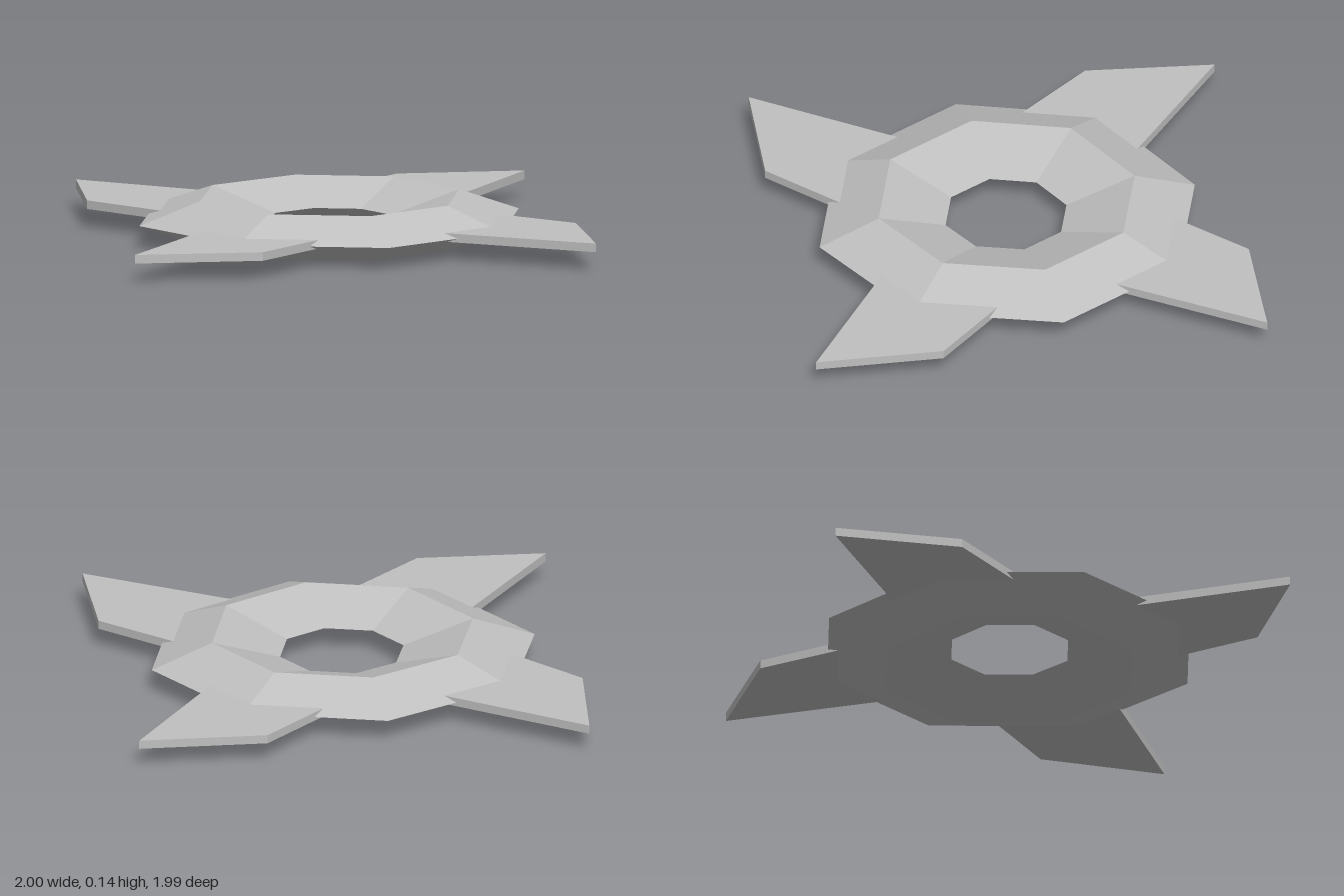
import * as THREE from 'three';

const steel = new THREE.MeshStandardMaterial({ color: 0xc0c0c0, flatShading: true });
steel.name = 'steel grey';

// Outer corners of the eight-sided ring, [x, z], from +x towards +z
const rim = [[0.6, -0.004], [0.43, 0.42], [-0.004, 0.597], [-0.448, 0.42],
  [-0.614, -0.004], [-0.422, -0.437], [-0.004, -0.607], [0.423, -0.437]];

// Diamond cross-section, [scale of the rim, y]
const section = [[1, 0.071], [0.682, 0.141], [0.322, 0.071], [0.682, 0.001]];

function makeRing() {
  const positions = [];
  const index = [];
  const n = section.length;
  rim.forEach(([x, z], i) => {
    const next = (i + 1) % rim.length;
    section.forEach(([s, y], k) => {
      positions.push(x * s, y, z * s);
      const a = i * n + k, b = i * n + (k + 1) % n;
      const c = next * n + (k + 1) % n, d = next * n + k;
      index.push(a, b, c, a, c, d);
    });
  });
  const indexed = new THREE.BufferGeometry();
  indexed.setAttribute('position', new THREE.Float32BufferAttribute(positions, 3));
  indexed.setIndex(index);
  const geometry = indexed.toNonIndexed();
  geometry.computeVertexNormals();
  return geometry;
}

// Flat slanted blade from its outline, [x, z], with its root buried in the ring
function makeBlade(outline) {
  const shape = new THREE.Shape(outline.map(([x, z]) => new THREE.Vector2(x, z)));
  const geometry = new THREE.ExtrudeGeometry(shape, { depth: 0.027, bevelEnabled: false });
  geometry.rotateX(Math.PI / 2);
  geometry.translate(0, 0.086, 0);
  return geometry;
}

const blades = {
  backBlade: [[0.14, -1], [-0.18, -0.76], [-0.218, -0.46], [0.185, -0.46]],
  rightBlade: [[-1, -0.19], [-0.78, 0.145], [-0.47, 0.212], [-0.47, -0.199]],
  frontBlade: [[-0.155, 0.99], [0.168, 0.755], [0.212, 0.44], [-0.19, 0.44]],
  leftBlade: [[0.997, 0.122], [0.755, -0.195], [0.45, -0.23], [0.45, 0.172]],
};

export function createModel() {
  const model = new THREE.Group();
  model.name = 'throwingStar';
  const add = (name, geometry) => {
    const mesh = new THREE.Mesh(geometry, steel);
    mesh.name = name;
    model.add(mesh);
  };
  add('ring', makeRing());
  for (const [name, outline] of Object.entries(blades)) add(name, makeBlade(outline));
  return model;
}
